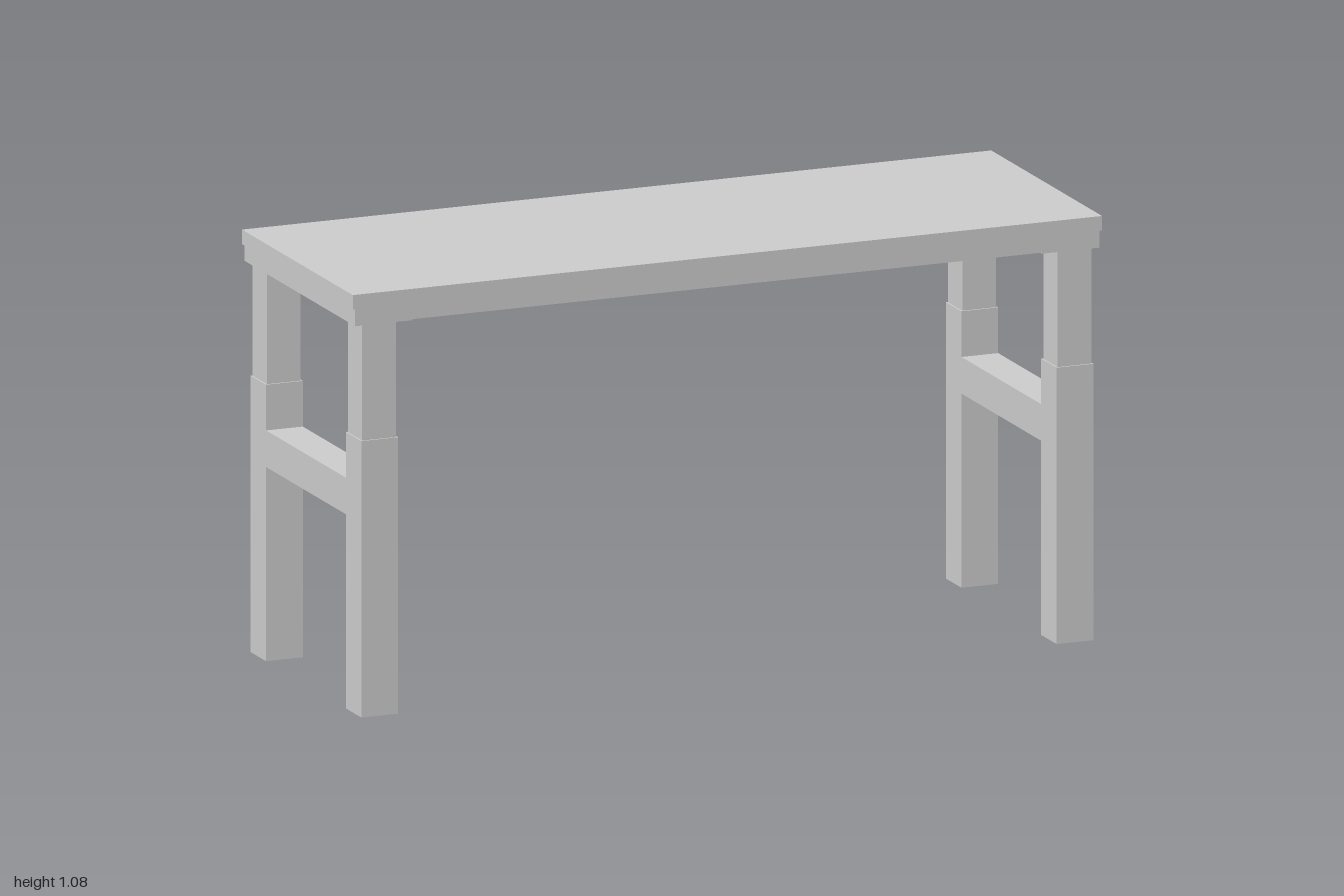
import * as THREE from 'three';

export function createModel() {
  const group = new THREE.Group();
  const material = new THREE.MeshStandardMaterial({ color: 0xcccccc, flatShading: true });

  // Box given by its lower and upper limits on each axis
  function box(name, [x0, x1], [y0, y1], [z0, z1]) {
    const mesh = new THREE.Mesh(new THREE.BoxGeometry(x1 - x0, y1 - y0, z1 - z0), material);
    mesh.name = name;
    mesh.position.set((x0 + x1) / 2, (y0 + y1) / 2, (z0 + z1) / 2);
    group.add(mesh);
  }
  const mirror = ([a, b], s) => (s > 0 ? [a, b] : [-b, -a]);

  // Tabletop board and the thicker panel beneath it
  box('tabletop', [-1, 1], [1.038, 1.075], [-0.35, 0.35]);
  box('underPanel', [-0.84, 0.84], [0.998, 1.038], [-0.35, 0.35]);

  for (const sx of [1, -1]) {
    const side = sx > 0 ? 'left' : 'right';
    // Cross plate carrying the leg pair, and the stretcher between the legs
    box(`${side}CrossPlate`, mirror([0.84, 0.993], sx), [0.995, 1.038], [-0.349, 0.349]);
    box(`${side}Stretcher`, mirror([0.879, 0.977], sx), [0.493, 0.586], [-0.252, 0.252]);

    // Telescoping legs: wide lower sleeve, slimmer upper post
    for (const sz of [1, -1]) {
      const leg = side + (sz > 0 ? 'Front' : 'Back');
      box(`${leg}LowerLeg`, mirror([0.879, 0.977], sx), [0, 0.702], mirror([0.252, 0.35], sz));
      box(`${leg}UpperLeg`, mirror([0.883, 0.973], sx), [0.702, 0.995], mirror([0.256, 0.346], sz));
    }
  }
  return group;
}
